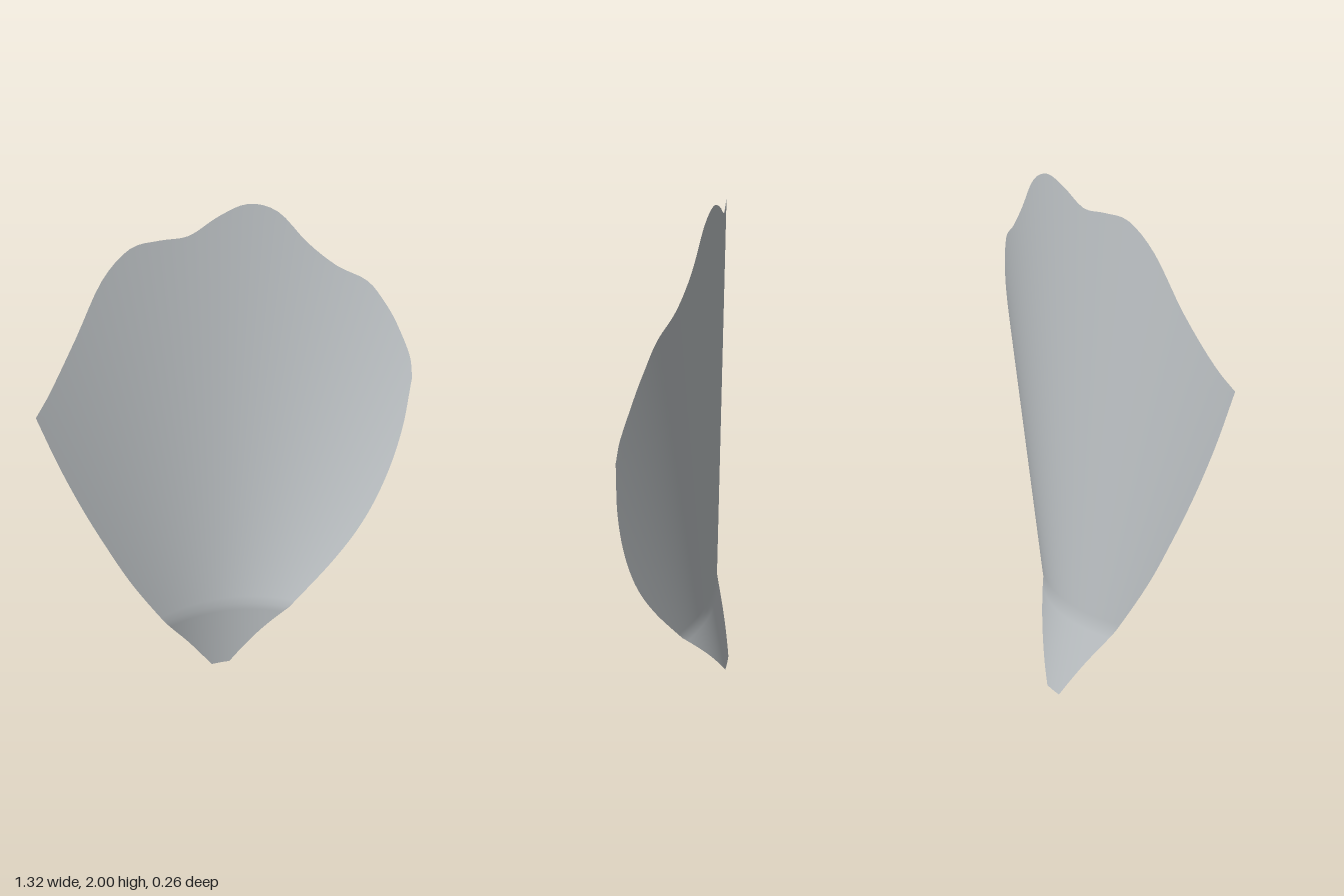
import * as THREE from 'three';

const curve = (pts) => new THREE.CatmullRomCurve3(
  pts.map(([x, y]) => new THREE.Vector3(x, y, 0)), false, 'catmullrom', 0.5);

// Side edges, with matching heights, and the wavy upper edge
const heights = [0, 0.18, 0.36, 0.6, 0.8, 1.0, 1.2, 1.4];
const leftX = [-0.02, -0.125, -0.235, -0.362, -0.45, -0.53, -0.6, -0.66];
const rightX = [0.06, 0.165, 0.275, 0.42, 0.52, 0.59, 0.635, 0.657];
const edgeA = curve(heights.map((y, i) => [leftX[i], y]));
const edgeB = curve(heights.map((y, i) => [rightX[i], y]));
const rim = curve([
  [-0.66, 1.4], [-0.6, 1.475], [-0.5, 1.63], [-0.4, 1.8], [-0.3, 1.89], [-0.2, 1.905],
  [-0.1, 1.91], [0, 1.965], [0.1, 2.0], [0.2, 1.97], [0.3, 1.865], [0.4, 1.785],
  [0.5, 1.735], [0.56, 1.66], [0.6, 1.59], [0.645, 1.48], [0.657, 1.4],
]);

// Cupped cross-section that flattens with height; the foot bends backwards
function depth(x, y) {
  const foot = Math.max(0, 1 - y / 0.36);
  const bend = 1 / (0.5 + 1.25 * Math.max(y, 0.36));
  const mid = 0.02 * foot;
  return -0.075 - 0.06 * foot + bend * (x < 0 ? 0.87 : 1) * (x - mid) ** 2;
}

export function createModel() {
  const group = new THREE.Group();
  const shell = new THREE.MeshStandardMaterial({ color: 0xc5cacd, side: THREE.DoubleSide });
  shell.name = 'pale grey';

  const cols = 64, lower = 42, upper = 16, rows = lower + upper;
  const positions = [], index = [];
  for (let r = 0; r <= rows; r++) {
    const t = Math.min(1, r / lower);
    const a = edgeA.getPoint(t), b = edgeB.getPoint(t);
    const lift = Math.max(0, (r - lower) / upper);
    for (let c = 0; c <= cols; c++) {
      const s = c / cols, top = rim.getPoint(s);
      // Lower rows span the side edges, upper rows rise to the rim
      const x = THREE.MathUtils.lerp(THREE.MathUtils.lerp(a.x, b.x, s), top.x, lift);
      const y = THREE.MathUtils.lerp(a.y, top.y, lift);
      positions.push(x, y, depth(x, y));
      if (r < rows && c < cols) {
        const i = r * (cols + 1) + c, j = i + cols + 1;
        index.push(i, i + 1, j + 1, i, j + 1, j);
      }
    }
  }
  const geometry = new THREE.BufferGeometry();
  geometry.setAttribute('position', new THREE.Float32BufferAttribute(positions, 3));
  geometry.setIndex(index);
  geometry.computeVertexNormals();

  const petal = new THREE.Mesh(geometry, shell);
  petal.name = 'petal';
  group.add(petal);
  return group;
}
